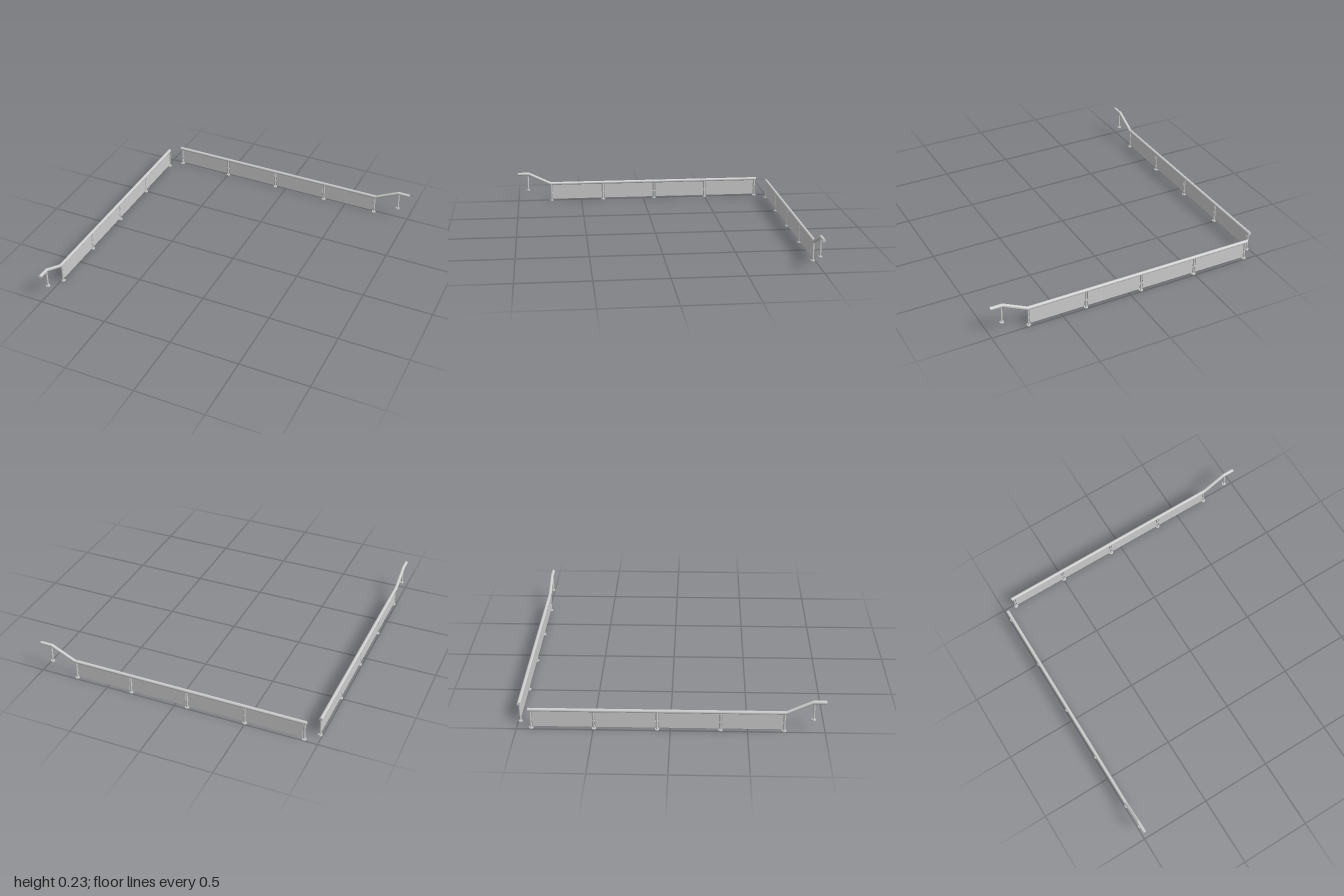
import * as THREE from 'three';
import { toCreasedNormals } from 'three/addons/utils/BufferGeometryUtils.js';

const mat = new THREE.MeshStandardMaterial({ color: 0xcccccc });
const RAIL_R = 0.012;
const POSTS = [-0.905, -0.496, -0.086, 0.325, 0.737];

function add(parent, name, geometry, x, y, z) {
  const mesh = new THREE.Mesh(geometry, mat);
  mesh.name = name;
  mesh.position.set(x, y, z);
  parent.add(mesh);
}

// Round handrail with mitred bends: each ring of a cylinder goes to one path point
function handrailGeometry() {
  const path = [[-0.92, 0.139], [0.745, 0.139], [0.915, 0.221], [1, 0.221]];
  const slope = Math.atan2(path[2][1] - path[1][1], path[2][0] - path[1][0]);
  const mitre = Math.tan(slope / 2);
  const g = new THREE.CylinderGeometry(RAIL_R, RAIL_R, 3, 20, 3);
  const p = g.attributes.position;
  for (let i = 0; i < p.count; i++) {
    const ring = Math.round(p.getY(i) + 1.5);
    const up = -p.getX(i);
    const shift = ring === 1 || ring === 2 ? -up * mitre : 0;
    p.setXYZ(i, path[ring][0] + shift, path[ring][1] + up, p.getZ(i));
  }
  return toCreasedNormals(g, 0.4);
}

// Post with a round base plate
function post(parent, x, bottom, top, z) {
  const g = new THREE.Group();
  g.name = 'post';
  add(g, 'postTube', new THREE.CylinderGeometry(0.0065, 0.0065, top - bottom, 16), x, (top + bottom) / 2, z);
  add(g, 'basePlate', new THREE.CylinderGeometry(0.0145, 0.0145, 0.006, 20), x, bottom + 0.003, z);
  parent.add(g);
}

// One straight run along x; inward is the side the posts are set towards
function railing(name, inward) {
  const run = new THREE.Group();
  run.name = name;
  const z = 0.003 * inward;
  add(run, 'handrail', handrailGeometry(), 0, 0, 0);
  POSTS.forEach((x) => post(run, x, 0, 0.132, z));
  post(run, 0.922, 0.088, 0.215, z);

  // Infill panels, held to the posts by small clips
  for (let i = 0; i < POSTS.length - 1; i++) {
    const a = POSTS[i] + 0.011, b = POSTS[i + 1] - 0.011;
    add(run, 'panel', new THREE.BoxGeometry(b - a, 0.113, 0.004), (a + b) / 2, 0.0715, z);
    for (const x of [a - 0.002, b + 0.002]) {
      add(run, 'panelClip', new THREE.BoxGeometry(0.011, 0.008, 0.008), x, 0.06, z);
    }
  }
  return run;
}

export function createModel() {
  const model = new THREE.Group();
  model.name = 'cornerRailings';

  const back = railing('backRailing', 1);
  back.position.z = -0.988;
  model.add(back);

  const side = railing('sideRailing', -1);
  side.rotation.y = -Math.PI / 2;
  side.position.x = -0.988;
  model.add(side);

  return model;
}
